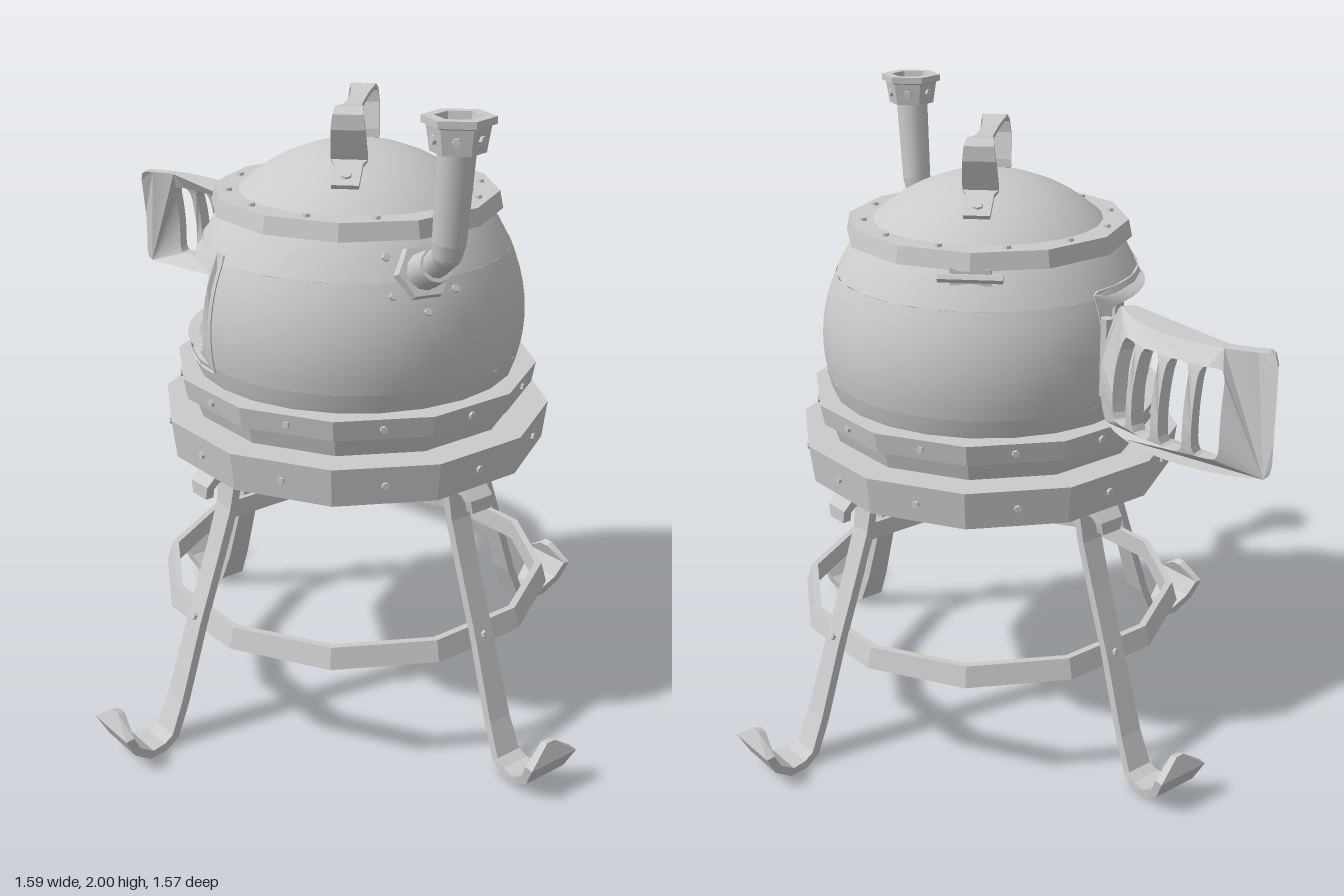
import * as THREE from 'three';

const R = 0.525, CY = 1.28, C = 0.065; // body radius, centre height, axis offset
const flat = new THREE.MeshStandardMaterial({ color: 0xcccccc, flatShading: true, side: THREE.DoubleSide });
const smooth = new THREE.MeshStandardMaterial({ color: 0xcccccc, side: THREE.DoubleSide });

function add(parent, name, geometry, material = flat) {
  const mesh = new THREE.Mesh(geometry, material);
  mesh.name = name;
  parent.add(mesh);
  return mesh;
}

const lathe = (pts, sides, start, length) =>
  new THREE.LatheGeometry(pts.map(p => new THREE.Vector2(p[0], p[1])), sides, start, length);

// Twelve-sided hoop with a sloped outer wall
const hoop = (inner, y0, r0, y1, r1) =>
  lathe([[inner, y0], [r0, y0], [r1, y1], [inner, y1], [inner, y0]], 12);

// Part of the sphere's outline between two heights
function arc(y0, y1, n) {
  const a0 = Math.asin((y0 - CY) / R), a1 = Math.asin(Math.min(1, (y1 - CY) / R));
  return Array.from({ length: n + 1 }, (_, i) => {
    const a = a0 + (a1 - a0) * i / n;
    return [Math.max(0, R * Math.cos(a)), CY + R * Math.sin(a)];
  });
}

// Bent flat bar: path of [along, y, width], width runs across the path
function strip(path, t) {
  const pos = [];
  const rings = path.map(([a, y, w], i) => {
    const p = path[Math.max(0, i - 1)], q = path[Math.min(path.length - 1, i + 1)];
    const l = Math.hypot(q[0] - p[0], q[1] - p[1]);
    const na = -(q[1] - p[1]) / l * t / 2, ny = (q[0] - p[0]) / l * t / 2;
    return [[-w / 2, y + ny, a + na], [w / 2, y + ny, a + na], [w / 2, y - ny, a - na], [-w / 2, y - ny, a - na]];
  });
  const quad = (a, b, c, d) => pos.push(...a, ...b, ...c, ...a, ...c, ...d);
  for (let i = 0; i < rings.length - 1; i++)
    for (let k = 0; k < 4; k++) {
      const m = (k + 1) % 4;
      quad(rings[i][k], rings[i + 1][k], rings[i + 1][m], rings[i][m]);
    }
  const e = rings[rings.length - 1];
  quad(...rings[0]);
  quad(e[3], e[2], e[1], e[0]);
  const g = new THREE.BufferGeometry();
  g.setAttribute('position', new THREE.Float32BufferAttribute(pos, 3));
  g.computeVertexNormals();
  return g;
}

// Evenly divided outline of a rounded rectangle (x is an angle, y a height)
function outline(x0, x1, y0, y1, r, n) {
  const s = new THREE.Shape();
  s.moveTo(x0 + r, y0).lineTo(x1 - r, y0).quadraticCurveTo(x1, y0, x1, y0 + r);
  s.lineTo(x1, y1 - r).quadraticCurveTo(x1, y1, x1 - r, y1);
  s.lineTo(x0 + r, y1).quadraticCurveTo(x0, y1, x0, y1 - r);
  s.lineTo(x0, y0 + r).quadraticCurveTo(x0, y0, x0 + r, y0);
  return new THREE.Shape(s.getSpacedPoints(n).slice(0, -1));
}

// Plate with holes wrapped round a sphere
function curvedPlate(shape, holes, thickness, radius) {
  shape.holes = holes;
  const g = new THREE.ExtrudeGeometry(shape, { depth: thickness, bevelEnabled: false });
  const p = g.attributes.position;
  for (let i = 0; i < p.count; i++) {
    const u = p.getX(i), y = p.getY(i);
    const h = Math.sqrt(radius ** 2 - (y - CY) ** 2) + p.getZ(i) - thickness;
    p.setXYZ(i, Math.sin(u) * h, y, Math.cos(u) * h);
  }
  g.computeVertexNormals();
  return g;
}

// Hexagonal bolt head pointing along a direction
function bolt(parent, pos, dir, r = 0.013) {
  const b = add(parent, 'bolt', new THREE.CylinderGeometry(r * 0.85, r, 0.016, 6));
  b.position.set(...pos);
  b.quaternion.setFromUnitVectors(new THREE.Vector3(0, 1, 0), new THREE.Vector3(...dir).normalize());
}

// Pipe between two points
function pipe(parent, name, from, to, r0, r1, sides = 12) {
  const a = new THREE.Vector3(...from), d = new THREE.Vector3(...to).sub(a);
  const m = add(parent, name, new THREE.CylinderGeometry(r1, r0, d.length(), sides), sides > 6 ? smooth : flat);
  m.position.copy(a).addScaledVector(d, 0.5);
  m.quaternion.setFromUnitVectors(new THREE.Vector3(0, 1, 0), d.normalize());
}

export function createModel() {
  const model = new THREE.Group();
  const stove = new THREE.Group(); // everything centred on the body axis
  stove.name = 'stove';
  stove.position.set(C, 0, C);
  model.add(stove);

  // Round body with a gap for the door on the -x side
  const side = 1.5 * Math.PI, gap = 0.7;
  add(stove, 'lowerBody', lathe(arc(1.04, 1.18, 3), 24), smooth);
  add(stove, 'middleBody', lathe(arc(1.18, 1.5, 8), 24, side + gap, 2 * Math.PI - 2 * gap), smooth);
  add(stove, 'upperBody', lathe(arc(1.5, 1.8051, 8), 24), smooth);
  const frame = add(stove, 'doorFrame', curvedPlate(outline(-0.74, 0.74, 1.16, 1.52, 0.02, 90),
    [outline(-0.65, 0.65, 1.215, 1.47, 0.06, 70)], 0.035, 0.527));
  frame.rotation.y = -Math.PI / 2;
  const floor = add(stove, 'fireboxFloor', new THREE.CylinderGeometry(0.49, 0.49, 0.02, 12));
  floor.position.y = 1.17;

  // Stepped base and rings
  add(stove, 'basePlate', lathe([[0, 0.885], [0.575, 0.885], [0.575, 0.975], [0.5, 0.975]], 12));
  add(stove, 'baseRing', hoop(0.5, 0.87, 0.595, 0.99, 0.61).translate(0, 0, 0));
  add(stove, 'skirt', lathe([[0.505, 0.98], [0.53, 1.06]], 12));
  add(stove, 'middleRing', hoop(0.48, 1.055, 0.555, 1.12, 0.567));
  add(stove, 'lidRing', hoop(0.355, 1.61, 0.447, 1.663, 0.436));
  add(stove, 'footRing', hoop(0.595, 0.355, 0.635, 0.42, 0.617));
  for (let i = 0; i < 12; i++) {
    const a = (i + 0.5) * Math.PI / 6, s = Math.sin(a), c = Math.cos(a);
    bolt(stove, [s * 0.583, 0.93, c * 0.583], [s, 0, c]);
    bolt(stove, [s * 0.543, 1.088, c * 0.543], [s, 0, c]);
    bolt(stove, [s * 0.387, 1.664, c * 0.387], [0, 1, 0]);
  }

  // Four splayed legs with hooked tops and curled feet
  const legPath = [[0.585, 0.8, 0.07], [0.585, 0.835, 0.085], [0.56, 0.86, 0.09], [0.505, 0.86, 0.09], [0.487, 0.83, 0.085],
    [0.5, 0.74, 0.075], [0.545, 0.6, 0.07], [0.622, 0.38, 0.07], [0.7, 0.14, 0.08], [0.745, 0.035, 0.09],
    [0.785, 0.014, 0.1], [0.84, 0.014, 0.12], [0.9, 0.06, 0.155], [0.932, 0.12, 0.184], [0.915, 0.172, 0.03]];
  for (let i = 0; i < 4; i++) {
    const leg = new THREE.Group();
    leg.name = 'leg';
    leg.rotation.y = Math.PI / 4 + i * Math.PI / 2;
    add(leg, 'legBar', strip(legPath, 0.027));
    bolt(leg, [0, 0.4, 0.631], [0, 0.3, 1]);
    stove.add(leg);
  }

  // Lid handle, waisted in the middle
  const half = [[0.285, 1.728, 0.08], [0.2, 1.772, 0.085], [0.178, 1.782, 0.108], [0.182, 1.8, 0.108], [0.213, 1.88, 0.1],
    [0.212, 1.92, 0.09], [0.19, 1.935, 0.08], [0.1, 1.924, 0.055]];
  const mirrored = half.map(([a, y, w]) => [-a, y, w]).reverse();
  add(stove, 'lidHandle', strip([...half, [0, 1.92, 0.05], ...mirrored], 0.014));
  for (const s of [1, -1]) bolt(stove, [0, 1.752, s * 0.25], [0, 0.85, s * 0.45], 0.018);

  // Lid hinge at the back
  pipe(stove, 'lidHingePin', [-0.095, 1.588, -0.437], [0.095, 1.588, -0.437], 0.014, 0.014, 6);
  add(stove, 'lidHingePlate', new THREE.BoxGeometry(0.12, 0.05, 0.03)).position.set(0, 1.59, -0.42);

  // Open grated door
  const slots = [-1.5, -0.5, 0.5, 1.5].map(k =>
    outline(k * 0.21 - 0.078, k * 0.21 + 0.078, 1.21, 1.46, 0.04, 32));
  const door = add(model, 'door', curvedPlate(outline(-0.67, 0.67, 1.17, 1.512, 0.05, 100), slots, 0.042, 0.525));
  door.position.set(-0.83, 0, -0.25);
  door.rotation.y = Math.atan2(0.68, -0.735);
  pipe(model, 'doorHingePin', [-0.325, 1.22, -0.3], [-0.325, 1.46, -0.3], 0.02, 0.02, 6);

  // Chimney: bolted hexagonal flange, elbow, upright pipe and flared cap
  const chimney = new THREE.Group();
  chimney.name = 'chimney';
  model.add(chimney);
  const root = new THREE.Vector3(0.298, 1.52, 0.468);
  const out = root.clone().sub(new THREE.Vector3(C, CY, C)).normalize();
  const at = d => root.clone().addScaledVector(out, d).toArray();
  pipe(chimney, 'flange', at(-0.02), at(0.018), 0.088, 0.08, 6);
  pipe(chimney, 'flangeNeck', at(0.01), at(0.1), 0.056, 0.05);
  pipe(chimney, 'elbowPipe', at(0.08), [0.373, 1.615, 0.605], 0.04, 0.04);
  add(chimney, 'elbowJoint', new THREE.SphereGeometry(0.043, 12, 8), smooth).position.set(0.373, 1.618, 0.607);
  pipe(chimney, 'elbowCollar', [0.373, 1.615, 0.608], [0.378, 1.655, 0.614], 0.042, 0.048);
  pipe(chimney, 'uprightPipe', [0.378, 1.65, 0.614], [0.394, 1.93, 0.64], 0.047, 0.053);
  const u = new THREE.Vector3(0, 1, 0).cross(out).normalize(), v = out.clone().cross(u);
  for (let i = 0; i < 6; i++) {
    const a = (i + 0.5) * Math.PI / 3;
    const p = root.clone().addScaledVector(u, 0.112 * Math.cos(a)).addScaledVector(v, 0.112 * Math.sin(a));
    p.addScaledVector(out, -0.01);
    bolt(chimney, p.toArray(), out.toArray());
  }
  const cap = new THREE.Group();
  cap.name = 'chimneyCap';
  cap.position.set(0.396, 0, 0.645);
  cap.rotation.y = Math.PI / 6;
  chimney.add(cap);
  add(cap, 'capRim', lathe([[0, 1.905], [0.075, 1.905], [0.086, 1.975], [0.1, 1.98], [0.1, 2.0],
    [0.065, 2.0], [0.055, 1.93], [0, 1.93]], 6));
  for (let i = 0; i < 6; i++) {
    const a = (i + 0.5) * Math.PI / 3, s = Math.sin(a), c = Math.cos(a);
    bolt(cap, [s * 0.071, 1.942, c * 0.071], [s, 0, c], 0.015);
  }
  return model;
}
